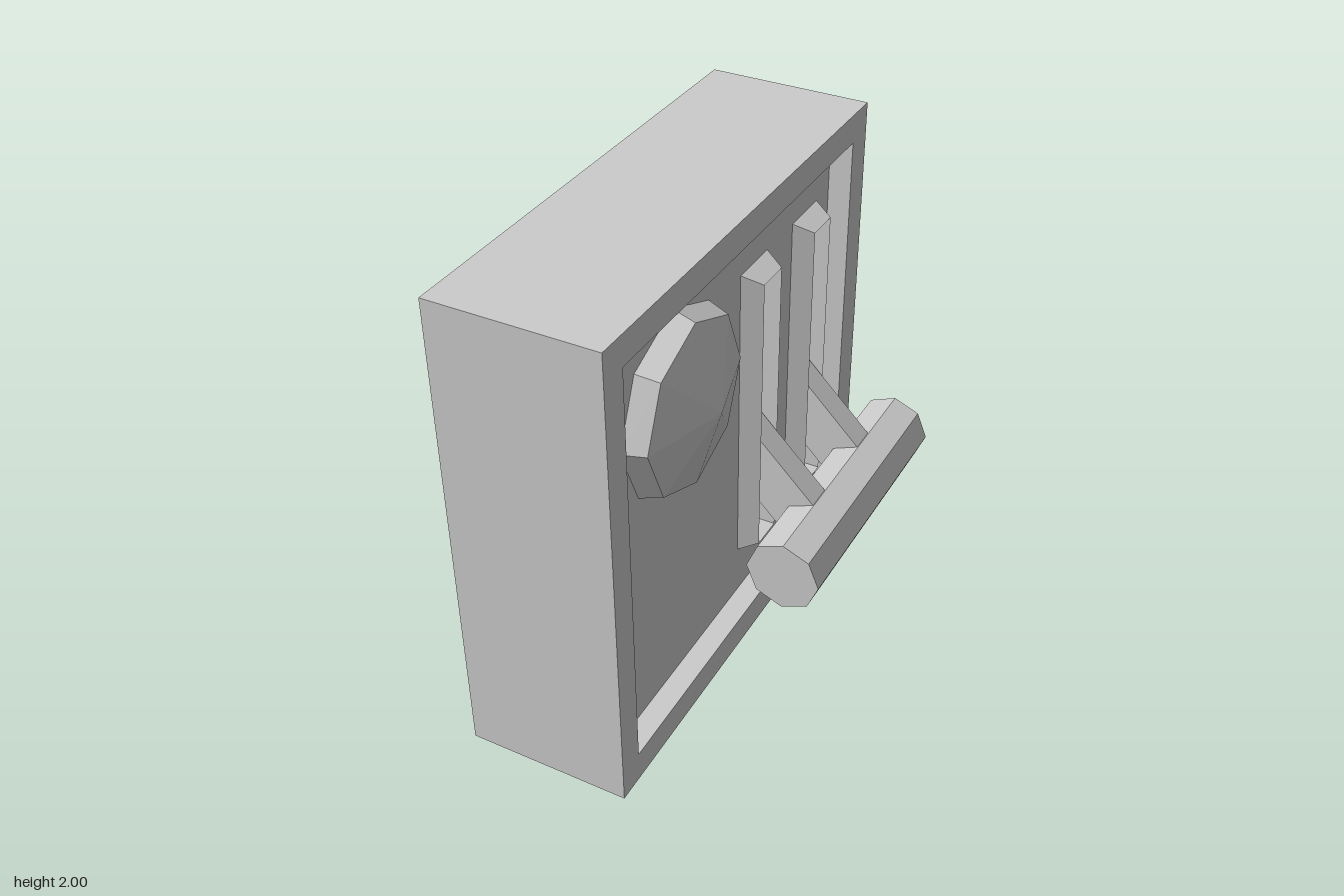
import * as THREE from 'three';

// Wall panel facing +x. Face parts are drawn in a local frame (u = -z, v = y, w = x).
const BACK = -0.525, FLOOR = -0.025, PANEL = 0.055, FRONT = 0.15;
const material = new THREE.MeshStandardMaterial({ color: 0xcccccc, flatShading: true });

// Corners of a rectangle, counter-clockwise, optionally inset
const corners = ([u0, v0, u1, v1], inset = 0) => [
  [u0 + inset, v0 + inset], [u1 - inset, v0 + inset],
  [u1 - inset, v1 - inset], [u0 + inset, v1 - inset],
];
const toPoints = (list) => list.map(([a, b]) => new THREE.Vector2(a, b));

// Rectangular plate with rectangular holes between two depths
function plate(outline, holes, w0, w1) {
  const shape = new THREE.Shape(toPoints(outline));
  for (const hole of holes) shape.holes.push(new THREE.Path(toPoints(hole)));
  return new THREE.ExtrudeGeometry(shape, { depth: w1 - w0, bevelEnabled: false }).translate(0, 0, w0);
}

// Skin joining successive four-cornered loops, each given as [corners, depth]
function skin(loops) {
  const positions = [];
  for (let k = 0; k < loops.length - 1; k++) {
    const [[a, wa], [b, wb]] = [loops[k], loops[k + 1]];
    for (let i = 0; i < 4; i++) {
      const j = (i + 1) % 4;
      const p = [...a[i], wa], q = [...a[j], wa], r = [...b[j], wb], s = [...b[i], wb];
      positions.push(...p, ...q, ...r, ...p, ...r, ...s);
    }
  }
  const geometry = new THREE.BufferGeometry();
  geometry.setAttribute('position', new THREE.Float32BufferAttribute(positions, 3));
  geometry.computeVertexNormals();
  return geometry;
}

function add(parent, name, geometry, mat = material) {
  const mesh = new THREE.Mesh(geometry, mat);
  mesh.name = name;
  parent.add(mesh);
  return mesh;
}

export function createModel() {
  const model = new THREE.Group();
  model.name = 'leverPanel';
  const face = new THREE.Group();
  face.name = 'face';
  face.rotation.y = Math.PI / 2;
  model.add(face);

  const outer = corners([-1, 0, 1, 2]);
  const recess = corners([-0.885, 0.13, 0.875, 1.88]);
  const slots = [0.215, 0.653].map((u) => [u - 0.109, 0.35, u + 0.109, 1.66]);
  const openings = slots.map((s) => corners(s, 0.037));

  // Housing: solid back, slotted panel, raised border
  add(face, 'housingBack', plate(outer, [], BACK, FLOOR));
  add(face, 'slottedPanel', plate(outer, openings, FLOOR, PANEL));
  add(face, 'border', plate(outer, [recess], PANEL, FRONT));

  // Sloped rims around the lever slots
  const rimMaterial = material.clone();
  rimMaterial.side = THREE.DoubleSide;
  slots.forEach((s, i) => {
    add(face, 'slotRim' + (i + 1),
      skin([[corners(s), PANEL], [openings[i], 0.135], [openings[i], PANEL]]), rimMaterial);
  });

  // Eight-sided pointed button
  const button = new THREE.LatheGeometry(
    toPoints([[0.37, PANEL], [0.34, 0.144], [0, 0.245]]), 8);
  button.rotateX(Math.PI / 2).translate(-0.403, 1.43, 0);
  add(face, 'button', button);

  // Slanted lever arms coming out of the slots
  const armShape = new THREE.Shape(toPoints(
    [[FLOOR, 0.74], [0.21, 0.505], [0.365, 0.505], [0.365, 0.655], [FLOOR, 1.045]]));
  for (const [i, z] of [-0.218, -0.655].entries()) {
    const arm = new THREE.ExtrudeGeometry(armShape, { depth: 0.112, bevelEnabled: false });
    add(model, 'leverArm' + (i + 1), arm.translate(0, 0, z - 0.056));
  }

  // Octagonal handle bar across both arms
  const handle = new THREE.CylinderGeometry(0.156, 0.156, 1.12, 8);
  handle.rotateX(Math.PI / 2).translate(0.365, 0.505, -0.44);
  add(model, 'handle', handle);

  return model;
}
